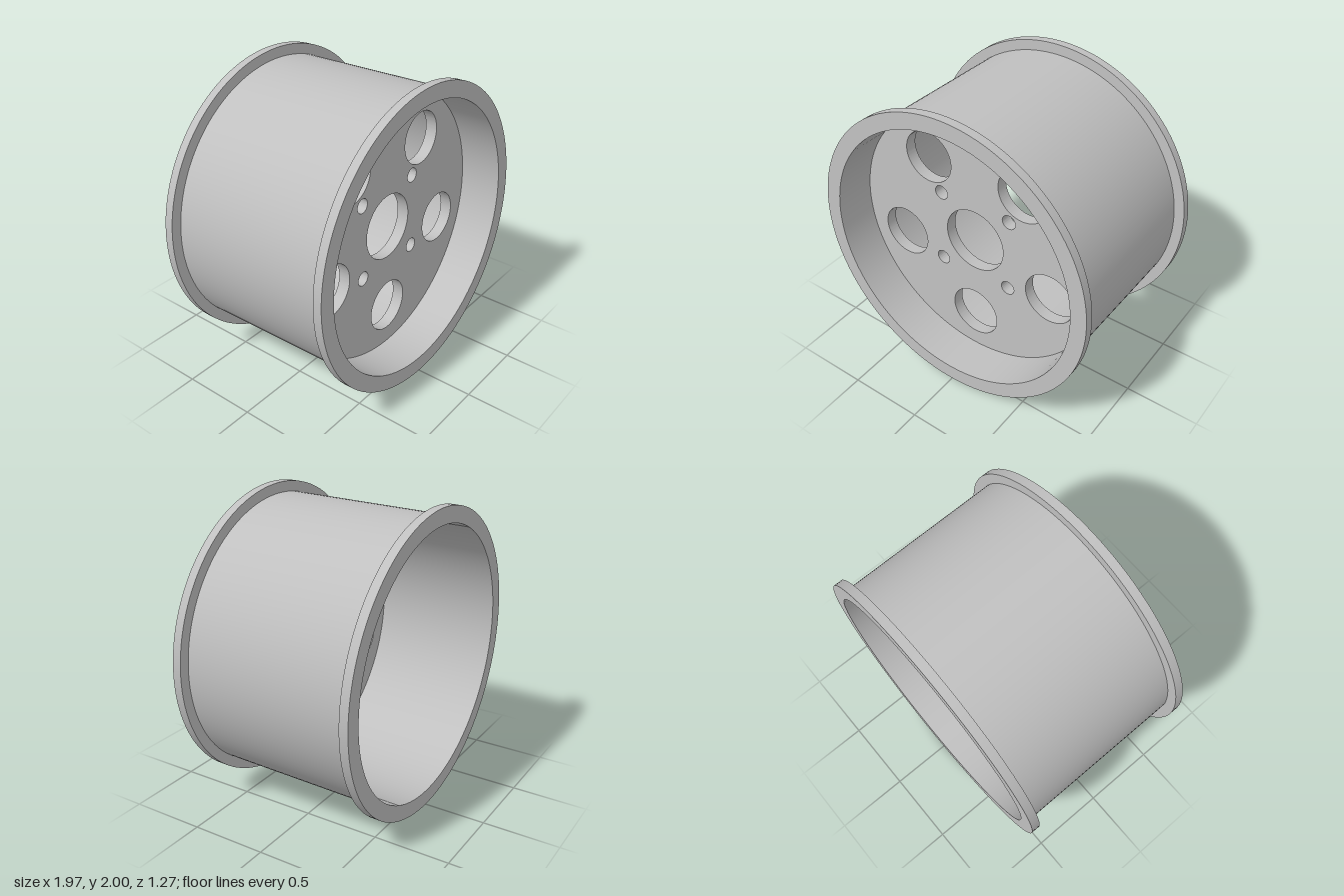
import * as THREE from 'three';
import { toCreasedNormals } from 'three/addons/utils/BufferGeometryUtils.js';

const R_FLANGE = 0.986, R_BARREL = 0.918, R_BORE = 0.88;
const HALF_WIDTH = 0.611, FLANGE = 0.058;
const DISC_FRONT = 0.33, DISC_THICK = 0.08;
const CREASE = 0.5;

// Barrel with a square flange at each end, turned from one closed profile
function rimGeometry() {
  const w = HALF_WIDTH, i = w - FLANGE;
  const profile = [
    [R_BORE, -w], [R_FLANGE, -w], [R_FLANGE, -i], [R_BARREL, -i],
    [R_BARREL, i], [R_FLANGE, i], [R_FLANGE, w], [R_BORE, w], [R_BORE, -w],
  ].map(([r, y]) => new THREE.Vector2(r, y));
  const geometry = new THREE.LatheGeometry(profile, 128);
  geometry.rotateX(Math.PI / 2);
  return toCreasedNormals(geometry, CREASE);
}

// Flat plate with hub bore, lug holes and round openings
function discGeometry() {
  const shape = new THREE.Shape();
  shape.absarc(0, 0, R_BORE + 0.01, 0, Math.PI * 2, false);

  const addHole = (x, y, r) => {
    const hole = new THREE.Path();
    hole.absarc(x, y, r, 0, Math.PI * 2, true);
    shape.holes.push(hole);
  };
  const addRing = (count, distance, start, r) => {
    for (let k = 0; k < count; k++) {
      const a = start + (k * Math.PI * 2) / count;
      addHole(Math.cos(a) * distance, Math.sin(a) * distance, r);
    }
  };
  addHole(0, 0, 0.218);
  addRing(4, 0.363, Math.PI / 4, 0.048);
  addRing(5, 0.595, -Math.PI / 2, 0.175);

  const geometry = new THREE.ExtrudeGeometry(shape, {
    depth: DISC_THICK, bevelEnabled: false, curveSegments: 64,
  });
  geometry.translate(0, 0, DISC_FRONT - DISC_THICK);
  return toCreasedNormals(geometry, CREASE);
}

export function createModel() {
  const metal = new THREE.MeshStandardMaterial({ color: 0xc0c0c0 });
  metal.name = 'grey metal';

  const rim = new THREE.Mesh(rimGeometry(), metal);
  rim.name = 'flangedRim';
  const disc = new THREE.Mesh(discGeometry(), metal);
  disc.name = 'wheelDisc';

  // The wheel leans back slightly
  const wheel = new THREE.Group();
  wheel.name = 'wheel';
  wheel.add(rim, disc);
  wheel.rotation.x = -0.022;
  wheel.position.y = 1;

  const model = new THREE.Group();
  model.name = 'wheelRim';
  model.add(wheel);
  return model;
}
